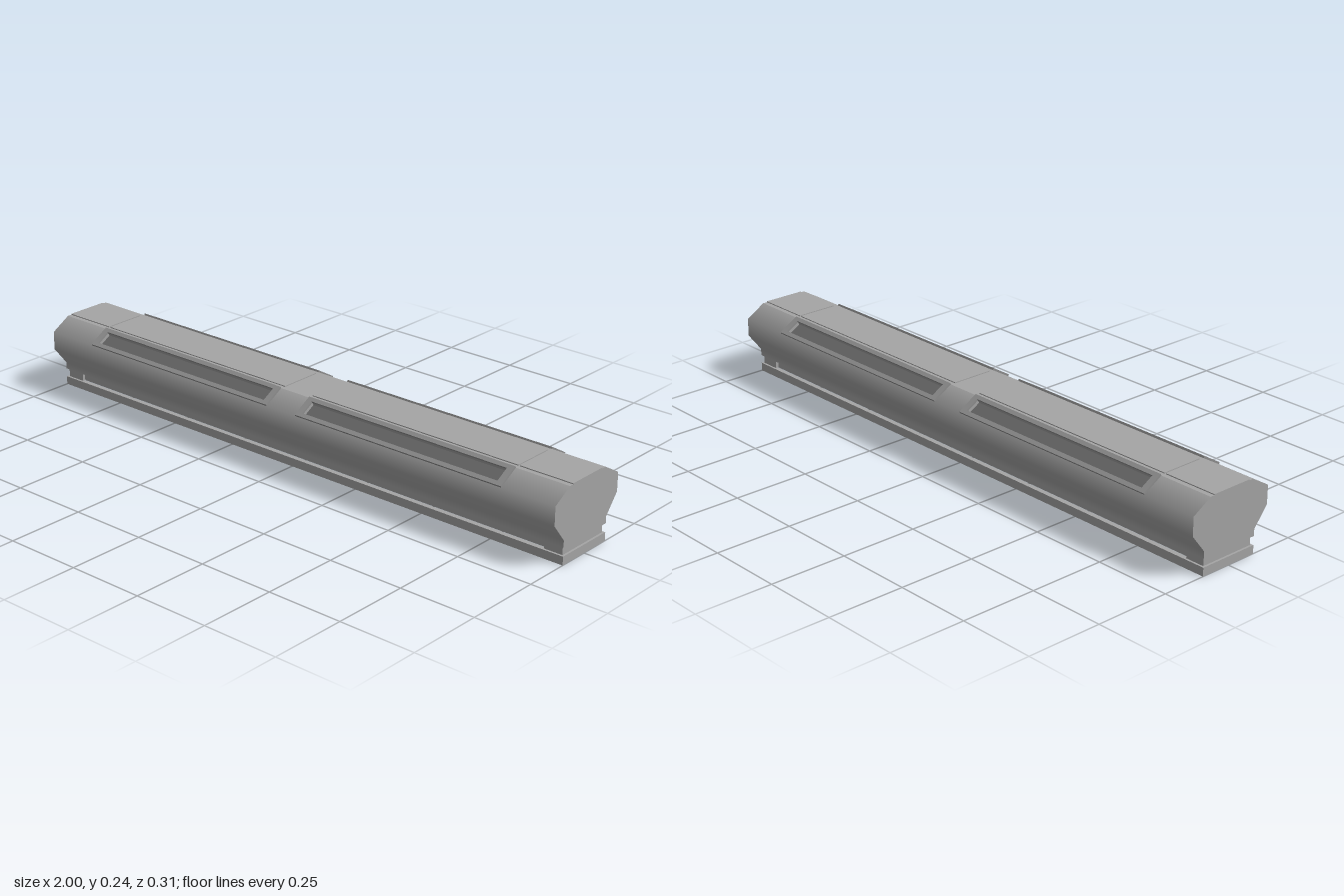
import * as THREE from 'three';

const bodyMaterial = new THREE.MeshStandardMaterial({ color: 0xa5a5a5 });
const frameMaterial = new THREE.MeshStandardMaterial({ color: 0x8e8e8e });
const paneMaterial = new THREE.MeshStandardMaterial({ color: 0x686868 });

// Half cross-section of the housing as [z, y], bottom to top
const OUTER = [[0.102, 0.055], [0.102, 0.077], [0.15, 0.137], [0.15, 0.197], [0.085, 0.235]];
const INNER = [[0.088, 0.055], [0.088, 0.083], [0.135, 0.142], [0.135, 0.188], [0.08, 0.22]];
const TILT = Math.atan2(0.065, 0.038); // slope of the shoulders
const WINDOW_X = 0.4375, FRAME_HALF = 0.38, OPEN_HALF = 0.36;
const WALL_X = 0.985;

const mirror = (pts) => pts.map(([z, y]) => [-z, y]).reverse();
const toShape = (pts) => new THREE.Shape(pts.map(([a, b]) => new THREE.Vector2(a, b)));

function add(parent, name, geometry, material = bodyMaterial) {
  const mesh = new THREE.Mesh(geometry, material);
  mesh.name = name;
  parent.add(mesh);
  return mesh;
}

// Extrude a z/y cross-section along x, with the bends of the side rounded by shading
function extrudeX(pts, x0, x1) {
  const g = new THREE.ExtrudeGeometry(toShape(pts), { depth: x1 - x0, bevelEnabled: false });
  g.rotateY(Math.PI / 2).translate(x0, 0, 0);
  const p = g.attributes.position, n = g.attributes.normal;
  for (let i = 0; i < p.count; i++) {
    if (Math.abs(n.getX(i)) > 0.5) continue;
    const z = p.getZ(i), y = p.getY(i);
    for (const k of [1, 2, 3]) {
      if (Math.hypot(Math.abs(z) - OUTER[k][0], y - OUTER[k][1]) > 1e-4) continue;
      const dz = OUTER[k + 1][0] - OUTER[k - 1][0], dy = OUTER[k + 1][1] - OUTER[k - 1][1];
      const len = Math.hypot(dz, dy);
      n.setXYZ(i, 0, -dz / len, Math.sign(z) * dy / len);
    }
  }
  return g;
}

const rect = (hx, hy) => [[-hx, -hy], [hx, -hy], [hx, hy], [-hx, hy]];

// Ring lying in local x/y, thick along local z
function ring(outline, innerX, innerY, depth) {
  const s = toShape(outline);
  s.holes.push(toShape(rect(innerX, innerY)));
  return new THREE.ExtrudeGeometry(s, { depth, bevelEnabled: false });
}

// Outer half profile with a shallow recess cut in the shoulder
function notchedOuter() {
  const [a, b] = [OUTER[3], OUTER[4]];
  const at = (t, d) => [
    a[0] + (b[0] - a[0]) * t - Math.cos(TILT) * d,
    a[1] + (b[1] - a[1]) * t - Math.sin(TILT) * d,
  ];
  return [...OUTER.slice(0, 4), at(0.18, 0), at(0.18, 0.012), at(0.82, 0.012), at(0.82, 0), b];
}

export function createModel() {
  const model = new THREE.Group();
  model.name = 'ventHousing';

  // Hollow housing, open underneath, plain and recessed sections in turn
  const housing = new THREE.Group();
  housing.name = 'housing';
  model.add(housing);
  const cuts = [-WALL_X, -WINDOW_X - OPEN_HALF, -WINDOW_X + OPEN_HALF,
    WINDOW_X - OPEN_HALF, WINDOW_X + OPEN_HALF, WALL_X];
  for (let i = 0; i < 5; i++) {
    const outer = i % 2 ? notchedOuter() : OUTER;
    const profile = [...outer, ...mirror(outer), ...INNER.map(([z, y]) => [-z, y]), ...[...INNER].reverse()];
    add(housing, i % 2 ? 'recessedSection' : 'plainSection', extrudeX(profile, cuts[i], cuts[i + 1]));
  }

  // Solid end walls
  const full = [...OUTER, ...mirror(OUTER)];
  add(housing, 'rightEndWall', extrudeX(full, -1, -WALL_X));
  add(housing, 'leftEndWall', extrudeX(full, WALL_X, 1));

  // Thin raised roof plates, split by narrow joints beside the windows
  for (const s of [-1, 1]) {
    for (const [x0, x1] of [[0.055, 0.815], [0.821, 1]]) {
      const plate = add(model, 'roofPlate', new THREE.BoxGeometry(x1 - x0, 0.004, 0.14));
      plate.position.set(s * (x0 + x1) / 2, 0.236, 0);
    }
  }

  // Base rim, and a collar forming the groove, deeper along the sides
  const half = [[0.993, -0.095], [0.993, 0.095], [0.93, 0.095], [0.93, 0.085]];
  const collarOutline = [[0.93, -0.085], [0.93, -0.095], ...half,
    ...[[0.93, -0.085], [0.93, -0.095], ...half].map(([x, y]) => [-x, -y])];
  const rim = add(model, 'baseRim', ring(rect(1, 0.102), WALL_X, 0.088, 0.027));
  const collar = add(model, 'grooveCollar', ring(collarOutline, WALL_X, 0.08, 0.028));
  rim.rotation.x = collar.rotation.x = -Math.PI / 2;
  collar.position.y = 0.027;

  // Window frames and dark panes on both shoulders
  for (const turn of [0, Math.PI]) {
    const side = new THREE.Group();
    side.name = turn ? 'backWindows' : 'frontWindows';
    side.rotation.y = turn;
    for (const s of [-1, 1]) {
      const unit = new THREE.Group();
      unit.name = 'window';
      unit.position.set(s * WINDOW_X, 0.216, 0.1175);
      unit.rotation.x = -TILT;
      add(unit, 'windowFrame', ring(rect(FRAME_HALF, 0.038), OPEN_HALF, 0.024, 0.006), frameMaterial);
      const pane = add(unit, 'pane', new THREE.BoxGeometry(OPEN_HALF * 2, 0.048, 0.002), paneMaterial);
      pane.position.z = -0.011;
      side.add(unit);
    }
    model.add(side);
  }
  return model;
}
